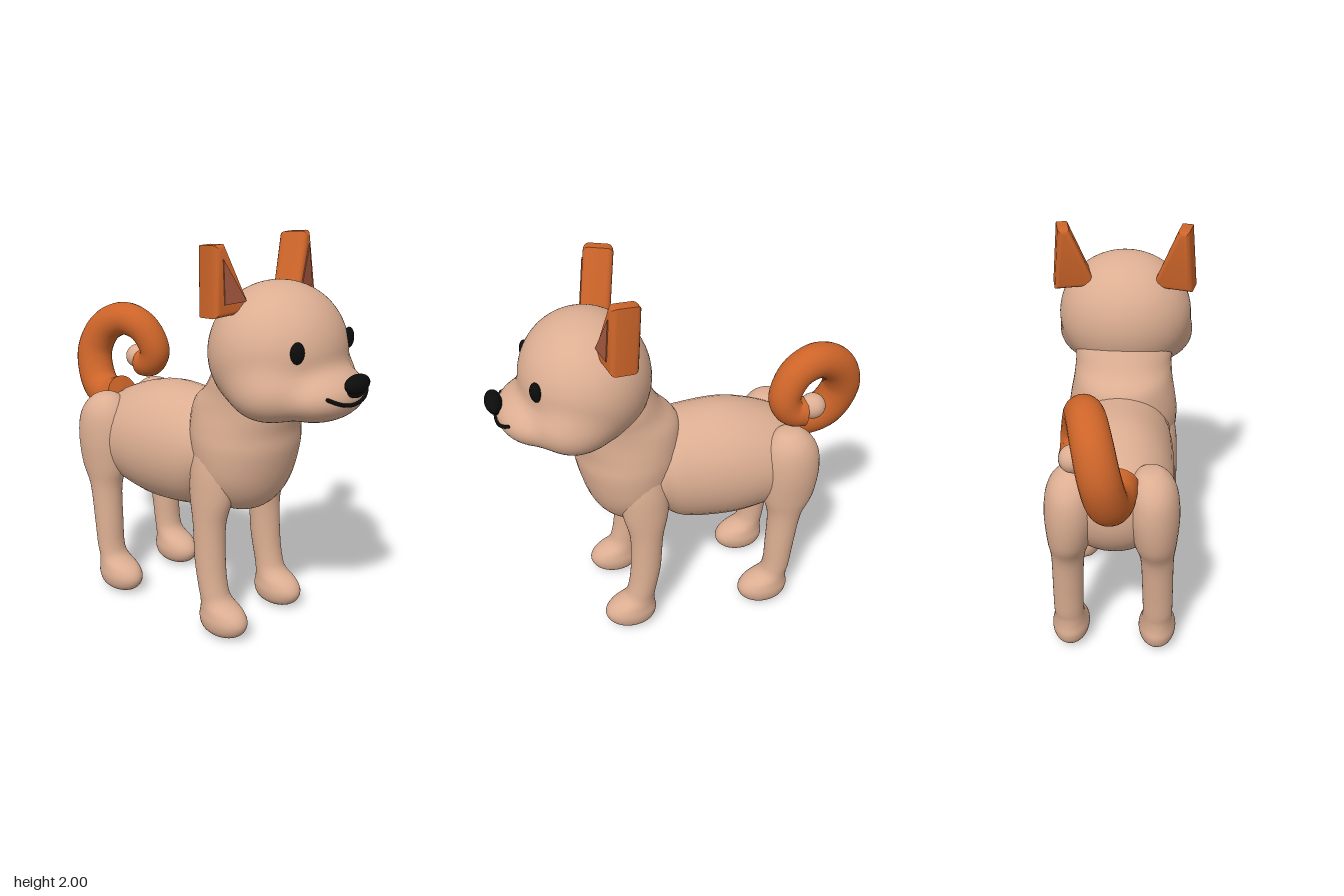
import * as THREE from 'three';
import { mergeVertices, toCreasedNormals } from 'three/addons/utils/BufferGeometryUtils.js';

const material = (name, color) => Object.assign(new THREE.MeshStandardMaterial({ color }), { name });

// Smooth tube of elliptical rings; rows are [y, x, z, radiusX, radiusZ], rising in y
function loft(rows, sides = 36, steps = 5) {
  const spline = (a, b, c, d, t) =>
    0.5 * (2 * b + (c - a) * t + (2 * a - 5 * b + 4 * c - d) * t * t + (3 * b - a - 3 * c + d) * t * t * t);
  const last = rows.length - 1;
  const position = [], index = [];
  const rings = last * steps + 1;
  for (let i = 0; i < rings; i++) {
    const k = Math.min(Math.floor(i / steps), last - 1);
    const t = i / steps - k;
    const at = (n) => rows[Math.max(0, Math.min(last, n))];
    const [y, x, z, rx, rz] = rows[0].map((_, n) =>
      spline(at(k - 1)[n], at(k)[n], at(k + 1)[n], at(k + 2)[n], t));
    for (let j = 0; j < sides; j++) {
      const a = (j / sides) * Math.PI * 2;
      position.push(x + rx * Math.cos(a), y, z + rz * Math.sin(a));
      if (i === rings - 1) continue;
      const p = i * sides + j, q = i * sides + ((j + 1) % sides);
      index.push(p, p + sides, q, q, p + sides, q + sides);
    }
  }
  const geometry = new THREE.BufferGeometry();
  geometry.setAttribute('position', new THREE.Float32BufferAttribute(position, 3));
  geometry.setIndex(index);
  geometry.computeVertexNormals();
  return geometry;
}

// Head volumes: skull, muzzle and two cheeks, [centre, radii]
const headLobes = [
  [[0, 1.49, 0.47], [0.35, 0.33, 0.32]],
  [[0, 1.335, 0.7], [0.255, 0.135, 0.21]],
  [[0.2, 1.355, 0.56], [0.16, 0.145, 0.18]],
  [[-0.2, 1.355, 0.56], [0.16, 0.145, 0.18]],
];

// Softly blended distance to the head volumes, negative inside
function headField(p) {
  const soft = 0.06;
  let result = 1e3;
  for (const [c, r] of headLobes) {
    const d = [p.x - c[0], p.y - c[1], p.z - c[2]];
    const k0 = Math.hypot(d[0] / r[0], d[1] / r[1], d[2] / r[2]);
    const k1 = Math.hypot(d[0] / r[0] ** 2, d[1] / r[1] ** 2, d[2] / r[2] ** 2);
    const dist = (k0 * (k0 - 1)) / Math.max(k1, 1e-6);
    const h = Math.max(soft - Math.abs(result - dist), 0) / soft;
    result = Math.min(result, dist) - (h * h * soft) / 4;
  }
  return result;
}

// Point where a ray leaves the head
function headSurface(origin, direction) {
  let near = 0, far = 0.8;
  const p = new THREE.Vector3();
  for (let i = 0; i < 24; i++) {
    const mid = (near + far) / 2;
    p.copy(origin).addScaledVector(direction, mid);
    if (headField(p) < 0) near = mid; else far = mid;
  }
  return p;
}

function headGeometry() {
  let geometry = new THREE.SphereGeometry(1, 72, 56);
  geometry.deleteAttribute('uv');
  geometry.deleteAttribute('normal');
  geometry = mergeVertices(geometry);
  const centre = new THREE.Vector3(0, 1.42, 0.56);
  const pos = geometry.attributes.position;
  const v = new THREE.Vector3();
  for (let i = 0; i < pos.count; i++) {
    v.fromBufferAttribute(pos, i).normalize();
    const p = headSurface(centre, v);
    pos.setXYZ(i, p.x, p.y, p.z);
  }
  geometry.computeVertexNormals();
  return geometry;
}

// Curled tail with a closed base and a slight taper
function tailGeometry() {
  const path = new THREE.CatmullRomCurve3([
    [-0.03, 1.07, -0.56], [-0.02, 1.04, -0.68], [0, 1.09, -0.79], [0.03, 1.25, -0.855],
    [0.065, 1.39, -0.8], [0.1, 1.452, -0.68], [0.13, 1.41, -0.56], [0.155, 1.29, -0.5],
    [0.16, 1.215, -0.54], [0.165, 1.2, -0.62],
  ].map((p) => new THREE.Vector3(...p)));
  const rings = 90, sides = 24;
  const geometry = new THREE.TubeGeometry(path, rings, 1, sides);
  const pos = geometry.attributes.position;
  const v = new THREE.Vector3();
  for (let i = 0; i <= rings; i++) {
    const t = i / rings;
    const centre = path.getPointAt(t);
    const radius = i === 0 || i === rings ? 0.001 : 0.1 - 0.025 * t * t;
    for (let j = 0; j <= sides; j++) {
      const n = i * (sides + 1) + j;
      v.fromBufferAttribute(pos, n).sub(centre).multiplyScalar(radius).add(centre);
      pos.setXYZ(n, v.x, v.y, v.z);
    }
  }
  return toCreasedNormals(geometry, 0.9);
}

export function createModel() {
  const model = new THREE.Group();
  model.name = 'dog';
  const tan = material('tan fur', 0xdcae92);
  const orange = material('orange fur', 0xcc6429);
  const innerEar = material('inner ear', 0xa4573f);
  const black = material('black', 0x0c0c0c);

  const add = (name, geometry, mat, parent = model) => {
    const mesh = new THREE.Mesh(geometry, mat);
    mesh.name = name;
    parent.add(mesh);
    return mesh;
  };
  const ellipsoid = (name, mat, centre, radii) => {
    const mesh = add(name, new THREE.SphereGeometry(1, 28, 20), mat);
    mesh.position.set(...centre);
    mesh.scale.set(...radii);
    return mesh;
  };

  // Barrel of the body, lofted upright and laid along z
  add('body', loft([
    [-0.665, 0, -0.92, 0.001, 0.001], [-0.65, 0, -0.91, 0.1, 0.1], [-0.6, 0, -0.89, 0.19, 0.18],
    [-0.5, 0, -0.875, 0.26, 0.255], [-0.35, 0, -0.88, 0.288, 0.305], [-0.2, 0, -0.885, 0.292, 0.325],
    [0, 0, -0.89, 0.28, 0.308], [0.1, 0, -0.91, 0.265, 0.27], [0.2, 0, -0.93, 0.23, 0.2],
    [0.25, 0, -0.93, 0.001, 0.001],
  ]).rotateX(Math.PI / 2), tan);

  // Chest rising into the neck
  add('chestAndNeck', loft([
    [0.645, 0, 0.28, 0.001, 0.001], [0.655, 0, 0.28, 0.09, 0.08], [0.69, 0, 0.28, 0.165, 0.14],
    [0.76, 0, 0.28, 0.23, 0.195], [0.86, 0, 0.28, 0.275, 0.235], [1, 0, 0.28, 0.29, 0.268],
    [1.1, 0, 0.28, 0.28, 0.275], [1.2, 0, 0.3, 0.262, 0.28], [1.28, 0, 0.335, 0.255, 0.24],
    [1.36, 0, 0.37, 0.255, 0.225], [1.46, 0, 0.4, 0.22, 0.2],
  ]), tan);

  add('head', headGeometry(), tan);

  for (const s of [1, -1]) {
    const side = s > 0 ? 'left' : 'right';

    // Legs with rounded paws; hind legs swell into haunches
    add(side + 'FrontLeg', loft([
      [0.008, s * 0.225, 0.33, 0.001, 0.001], [0.018, s * 0.225, 0.33, 0.05, 0.075],
      [0.05, s * 0.225, 0.333, 0.084, 0.122], [0.1, s * 0.225, 0.335, 0.096, 0.139],
      [0.15, s * 0.225, 0.325, 0.089, 0.122], [0.2, s * 0.225, 0.288, 0.077, 0.085],
      [0.26, s * 0.227, 0.268, 0.075, 0.076], [0.4, s * 0.225, 0.245, 0.077, 0.08],
      [0.6, s * 0.22, 0.235, 0.08, 0.087], [0.75, s * 0.205, 0.235, 0.094, 0.12],
      [0.9, s * 0.19, 0.24, 0.1, 0.125], [1.03, s * 0.17, 0.25, 0.085, 0.1],
      [1.08, s * 0.16, 0.25, 0.001, 0.001],
    ]), tan);
    add(side + 'HindLeg', loft([
      [0.008, s * 0.225, -0.42, 0.001, 0.001], [0.018, s * 0.225, -0.42, 0.05, 0.075],
      [0.05, s * 0.225, -0.418, 0.084, 0.122], [0.1, s * 0.225, -0.418, 0.096, 0.139],
      [0.15, s * 0.225, -0.43, 0.089, 0.122], [0.2, s * 0.225, -0.47, 0.077, 0.082],
      [0.26, s * 0.227, -0.49, 0.075, 0.073], [0.4, s * 0.225, -0.502, 0.077, 0.078],
      [0.6, s * 0.22, -0.52, 0.082, 0.092], [0.72, s * 0.21, -0.535, 0.105, 0.135],
      [0.86, s * 0.2, -0.54, 0.125, 0.155], [0.98, s * 0.195, -0.54, 0.122, 0.148],
      [1.06, s * 0.19, -0.535, 0.1, 0.115], [1.11, s * 0.185, -0.53, 0.055, 0.06],
      [1.12, s * 0.185, -0.53, 0.001, 0.001],
    ]), tan);

    // Ear: bevelled triangular slab with a thin inner face
    const ear = new THREE.Group();
    ear.name = side + 'Ear';
    ear.position.set(s * 0.27, 1.68, 0.36);
    ear.rotation.set(-0.1, s * 0.2, 0);
    model.add(ear);
    const triangle = (points) => new THREE.Shape(points.map(([x, y]) => new THREE.Vector2(s * x, y)));
    const slab = new THREE.ExtrudeGeometry(triangle([[0.065, 0.03], [0.042, 0.295], [0.03, 0.295], [-0.085, 0.03]]),
      { depth: 0.09, bevelSize: 0.028, bevelThickness: 0.028, bevelSegments: 4 });
    add(side + 'EarShell', toCreasedNormals(slab.translate(0, 0, -0.045), 0.7), orange, ear);
    const face = new THREE.ExtrudeGeometry(triangle([[0.045, 0.06], [0.035, 0.26], [-0.08, 0.06]]),
      { depth: 0.006, bevelEnabled: false });
    add(side + 'EarInner', face.translate(0, 0, 0.072), innerEar, ear);

    ellipsoid(side + 'Eye', black, [s * 0.2, 1.555, 0.727], [0.034, 0.05, 0.026]).rotation.y = s * 0.4;
  }

  // Nose, wider at the top
  ellipsoid('nose', black, [0, 1.41, 0.915], [0.083, 0.044, 0.042]);
  ellipsoid('noseLower', black, [0, 1.378, 0.908], [0.052, 0.033, 0.036]);

  // Mouth line following the muzzle
  const forward = new THREE.Vector3(0, 0, 1);
  const mouth = [-0.155, -0.13, -0.09, -0.045, 0, 0.045, 0.09, 0.13, 0.155].map((x) => {
    const y = 1.316 + 0.044 * Math.pow(Math.abs(x) / 0.155, 2.2);
    return headSurface(new THREE.Vector3(x, y, 0.6), forward).add(new THREE.Vector3(0, 0, 0.004));
  });
  add('mouth', new THREE.TubeGeometry(new THREE.CatmullRomCurve3(mouth), 40, 0.009, 10), black);
  for (const p of [mouth[0], mouth[8]]) ellipsoid('mouthCorner', black, p.toArray(), [0.009, 0.009, 0.009]);

  add('tail', tailGeometry(), orange);
  ellipsoid('tailTip', tan, [0.167, 1.23, -0.648], [0.066, 0.066, 0.066]);
  return model;
}
